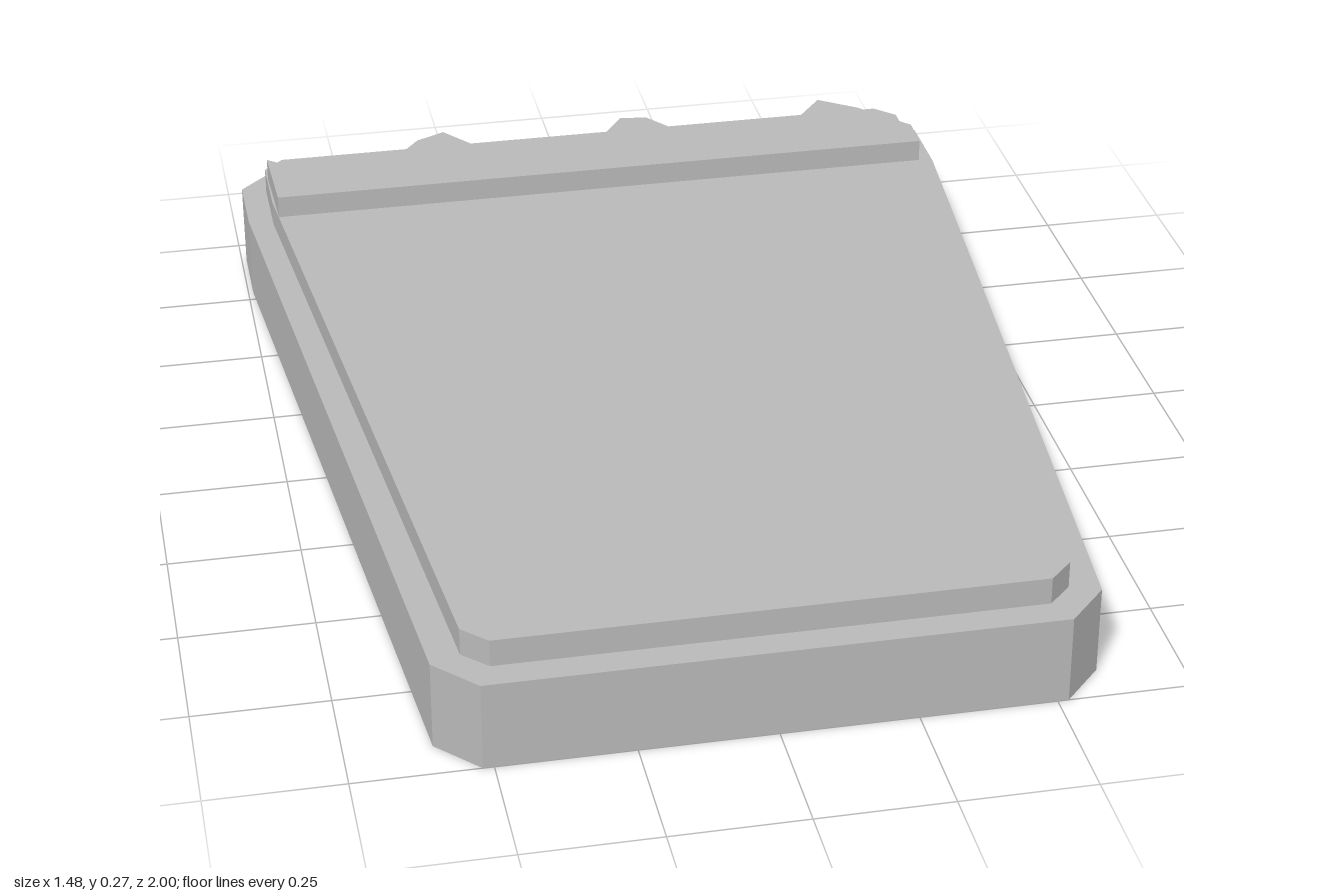
import * as THREE from 'three';

// Flat slab from an [x, z] outline, raised from y = bottom to y = top
function slab(name, outline, bottom, top, material) {
  const shape = new THREE.Shape(outline.map(([x, z]) => new THREE.Vector2(x, -z)));
  const geometry = new THREE.ExtrudeGeometry(shape, { depth: top - bottom, bevelEnabled: false });
  geometry.rotateX(-Math.PI / 2);
  geometry.translate(0, bottom, 0);
  const mesh = new THREE.Mesh(geometry, material);
  mesh.name = name;
  return mesh;
}

// Complete a symmetric outline from its +x half
const mirrored = (half) => [...half, ...half.map(([x, z]) => [-x, z]).reverse()];

export function createModel() {
  const model = new THREE.Group();
  model.name = 'taperedPlaque';
  const grey = new THREE.MeshStandardMaterial({ color: 0xb8b8b8 });
  grey.name = 'grey';

  // Tapered base with chamfered corners
  const base = mirrored([[0.67, -1], [0.74, -0.93], [0.74, -0.78], [0.595, 0.92], [0.52, 1]]);
  // Inset raised panel
  const panel = mirrored([[0.65, -0.95], [0.69, -0.91], [0.69, -0.755], [0.54, 0.9], [0.495, 0.945]]);
  // Strip with a straight front and a jagged back
  const ridge = [
    [-0.683, -0.685], [0.683, -0.685], [0.685, -0.765], [0.593, -0.87], [0.517, -0.925],
    [0.43, -0.815], [0.267, -0.73], [0.135, -0.91], [0.08, -0.92], [-0.035, -0.755],
    [-0.2, -0.785], [-0.305, -0.925], [-0.365, -0.895], [-0.505, -0.713], [-0.688, -0.865],
  ];

  model.add(
    slab('base', base, 0, 0.17, grey),
    slab('raisedPanel', panel, 0.17, 0.222, grey),
    slab('jaggedRidge', ridge, 0.222, 0.267, grey),
  );
  return model;
}
